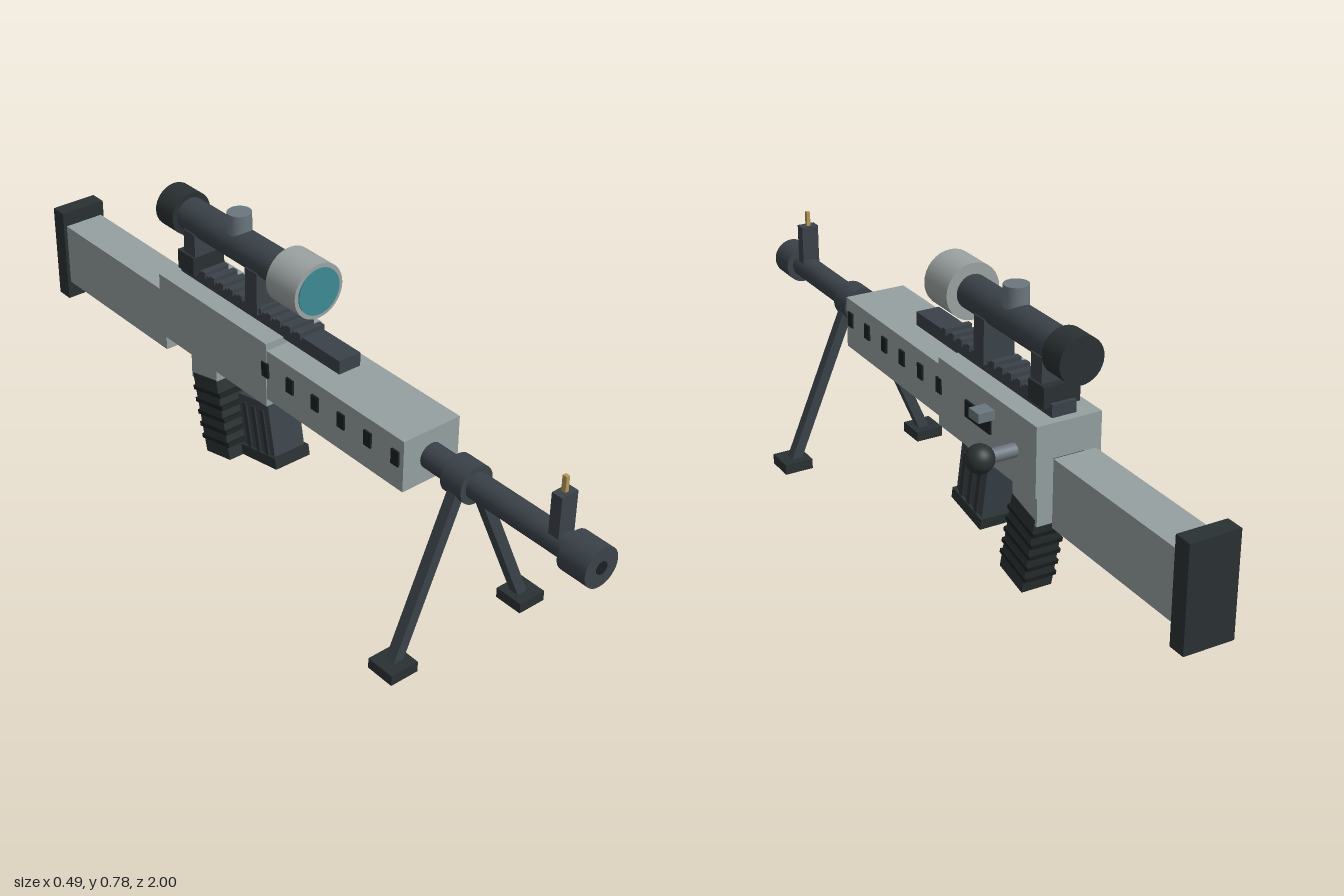
import * as THREE from 'three';

const mat = (color) => new THREE.MeshStandardMaterial({ color });

export function createModel() {
  const root = new THREE.Group();
  const M = {
    body: mat(0x95a0a0), steel: mat(0x3a4249), dark: mat(0x2a3132), black: mat(0x1b2021),
    grey: mat(0x6b767e), bell: mat(0x9ba3a2), glass: mat(0x3c8a94), brass: mat(0xb59a58),
  };

  const add = (name, geo, material, x, y, z, parent = root) => {
    const mesh = new THREE.Mesh(geo, material);
    mesh.name = name;
    mesh.position.set(x, y, z);
    parent.add(mesh);
    return mesh;
  };
  // box from its [min, max] extents on each axis
  const box = (name, material, [x0, x1], [y0, y1], [z0, z1], parent = root) =>
    add(name, new THREE.BoxGeometry(x1 - x0, y1 - y0, z1 - z0), material,
      (x0 + x1) / 2, (y0 + y1) / 2, (z0 + z1) / 2, parent);
  // round part lying along z
  const tube = (name, material, r, y, z0, z1, parent = root) =>
    add(name, new THREE.CylinderGeometry(r, r, z1 - z0, 32).rotateX(Math.PI / 2), material,
      0, y, (z0 + z1) / 2, parent);
  const group = (name, x = 0, y = 0, z = 0, tilt = 0) => {
    const g = new THREE.Group();
    g.name = name;
    g.position.set(x, y, z);
    g.rotation.x = tilt;
    root.add(g);
    return g;
  };
  const sym = (w) => [-w, w];
  const AXIS = 0.444;

  // barrel and muzzle
  tube('barrel', M.steel, 0.033, AXIS, 0.45, 0.95);
  tube('muzzle', M.steel, 0.05, AXIS, 0.918, 0.998);
  tube('bore', M.black, 0.016, AXIS, 0.98, 1.0);
  box('frontSightBase', M.steel, sym(0.024), [0.46, 0.573], [0.865, 0.895]);
  box('frontSightPost', M.brass, sym(0.005), [0.573, 0.613], [0.873, 0.885]);

  // bipod
  const bipod = group('bipod');
  tube('bipodCollar', M.steel, 0.049, AXIS, 0.558, 0.624, bipod);
  for (const s of [-1, 1]) {
    const top = new THREE.Vector2(0.024 * s, 0.44), foot = new THREE.Vector2(0.203 * s, 0.014);
    const leg = add('bipodLeg', new THREE.BoxGeometry(0.028, top.distanceTo(foot), 0.028),
      M.steel, (top.x + foot.x) / 2, (top.y + foot.y) / 2, 0.592, bipod);
    leg.rotation.z = Math.atan2(foot.x - top.x, top.y - foot.y);
    box('bipodFoot', M.dark, s > 0 ? [0.163, 0.243] : [-0.243, -0.163],
      [0, 0.028], [0.554, 0.634], bipod);
  }

  // handguard with vents, receiver and stock
  box('handguard', M.body, sym(0.084), [0.378, 0.515], [-0.025, 0.475]);
  for (let i = 0; i < 6; i++) {
    const z = 0.449 - i * 0.0945;
    for (const s of [-1, 1])
      box('vent', M.black, s > 0 ? [0.07, 0.089] : [-0.089, -0.07],
        [0.441, 0.481], [z - 0.0125, z + 0.0125]);
  }
  box('receiver', M.body, sym(0.086), [0.356, 0.534], [-0.463, -0.021]);
  box('stockNeck', M.steel, sym(0.04), [0.375, 0.447], [-0.495, -0.455]);
  box('stock', M.body, sym(0.056), [0.286, 0.46], [-0.957, -0.487]);
  box('buttPlate', M.dark, sym(0.065), [0.236, 0.5], [-1, -0.953]);

  // bolt, ejection port and lever on the left side
  box('ejectionPort', M.black, [0.07, 0.091], [0.434, 0.478], [-0.27, -0.155]);
  box('lever', M.grey, [0.07, 0.13], [0.478, 0.502], [-0.285, -0.241]);
  add('boltHandle', new THREE.CylinderGeometry(0.017, 0.017, 0.1, 24).rotateZ(Math.PI / 2),
    M.grey, 0.115, 0.44, -0.372);
  add('boltKnob', new THREE.SphereGeometry(0.035, 32, 20), M.dark, 0.177, 0.44, -0.372);

  // toothed rail
  box('rail', M.steel, sym(0.032), [0.53, 0.566], [-0.44, 0.188]);
  for (let i = 0; i < 13; i++) {
    const z = 0.04 - i * 0.038;
    box('railTooth', M.steel, sym(0.037), [0.56, 0.576], [z - 0.009, z + 0.009]);
  }

  // scope
  const scope = group('scope');
  tube('scopeTube', M.steel, 0.044, 0.69, -0.45, -0.02, scope);
  tube('scopeBell', M.bell, 0.072, 0.69, -0.036, 0.072, scope);
  tube('frontLens', M.glass, 0.061, 0.69, 0.06, 0.075, scope);
  tube('eyepiece', M.dark, 0.058, 0.69, -0.505, -0.433, scope);
  add('turret', new THREE.CylinderGeometry(0.031, 0.031, 0.08, 24), M.grey, 0, 0.737, -0.231, scope);
  box('frontMount', M.steel, sym(0.042), [0.555, 0.67], [-0.158, -0.112], scope);
  box('rearMount', M.steel, sym(0.042), [0.555, 0.67], [-0.41, -0.364], scope);
  box('rearMountBase', M.dark, sym(0.048), [0.555, 0.607], [-0.43, -0.364], scope);

  // slanted magazine with side ribs
  const magazine = group('magazine', 0, 0.223, -0.111, -0.19);
  box('magazineBody', M.steel, sym(0.047), [-0.06, 0.087], sym(0.062), magazine);
  box('magazineBase', M.dark, sym(0.054), [-0.087, -0.057], sym(0.071), magazine);
  for (const z of [-0.036, 0, 0.036])
    box('magazineRib', M.dark, sym(0.052), [-0.058, 0.068], [z - 0.007, z + 0.007], magazine);

  // grip socket and ribbed grip
  box('gripSocket', M.body, sym(0.04), [0.24, 0.36], [-0.398, -0.29]);
  const grip = group('grip', 0, 0.157, -0.315, -0.235);
  box('gripBody', M.dark, sym(0.0415), sym(0.113), sym(0.052), grip);
  for (let i = 0; i < 5; i++) {
    const y = 0.07 - i * 0.035;
    box('gripRib', M.black, sym(0.043), [y - 0.006, y + 0.006], sym(0.06), grip);
  }
  return root;
}
